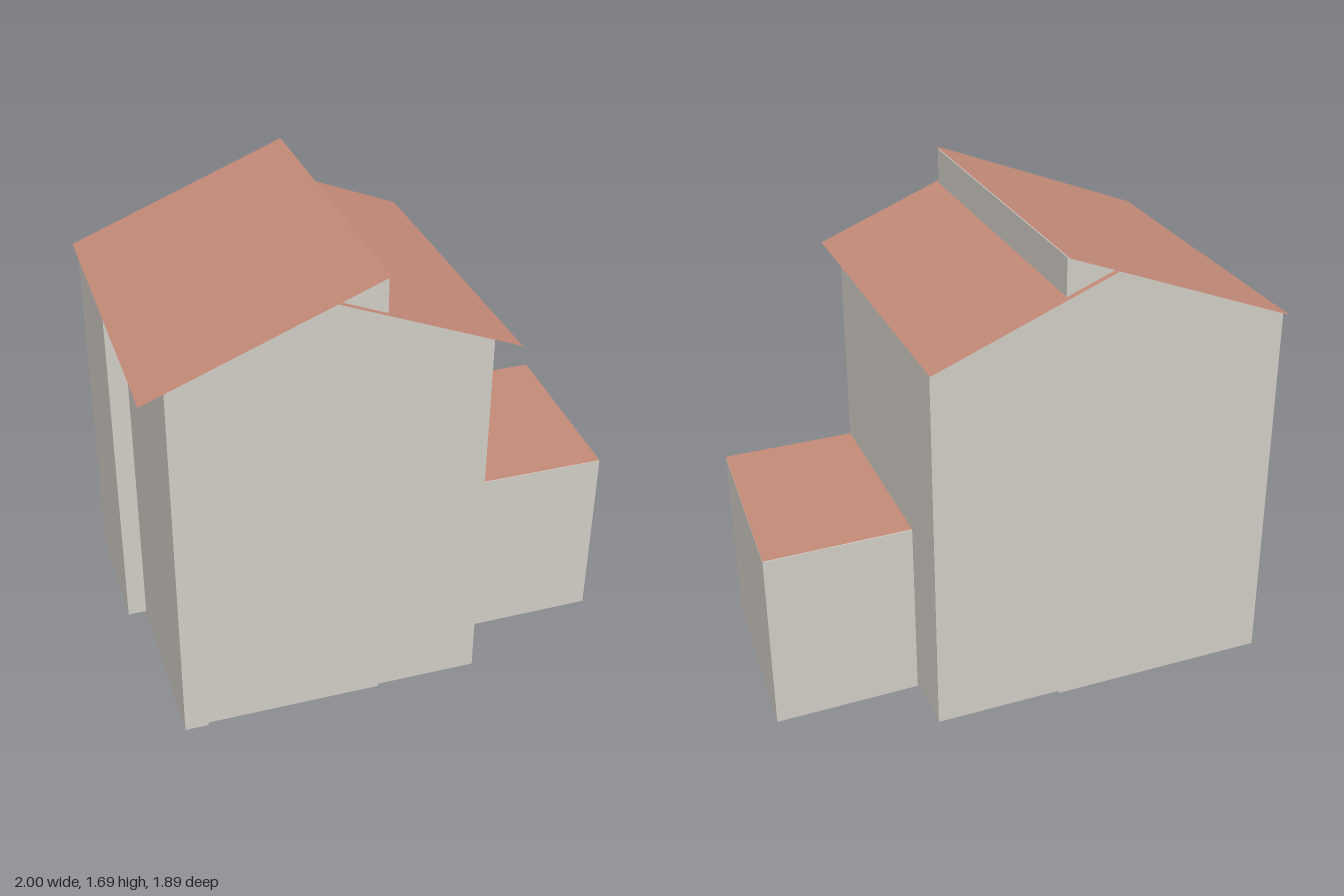
import * as THREE from 'three';

export function createModel() {
  const wallMat = new THREE.MeshStandardMaterial({ color: 0xd0ccc4 });
  wallMat.name = 'warm grey wall';
  const roofMat = new THREE.MeshStandardMaterial({ color: 0xc48a78, side: THREE.DoubleSide });
  roofMat.name = 'terracotta roof';

  const model = new THREE.Group();
  model.name = 'house';
  // The house stands at an angle: local x runs across the ridge, local z along it
  const house = new THREE.Group();
  house.name = 'turnedHouse';
  house.rotation.y = 0.666;
  model.add(house);

  const add = (name, geometry, material) => {
    const mesh = new THREE.Mesh(geometry, material);
    mesh.name = name;
    house.add(mesh);
    return mesh;
  };
  const shapeOf = (pts) => new THREE.Shape(pts.map(([x, y]) => new THREE.Vector2(x, y)));

  // Heights of the two roof slopes; the west one ends higher than the east one
  const RIDGE = 0.048;
  const west = (x) => 1.69 + 0.397 * (x - RIDGE);
  const east = (x) => 1.553 - 0.394 * (x - RIDGE);

  // Wall block with a sloping top, extruded along the ridge
  function block(name, x0, x1, z0, z1, slope, base) {
    const gap = 0.004;
    const shape = shapeOf([[x0, base], [x1, base], [x1, slope(x1) - gap], [x0, slope(x0) - gap]]);
    const geometry = new THREE.ExtrudeGeometry(shape, { depth: z1 - z0, bevelEnabled: false });
    add(name, geometry.translate(0, 0, z0), wallMat);
  }
  block('westRearWalls', -0.754, RIDGE, -0.622, -0.109, west, 0);
  block('westFrontWalls', -0.684, RIDGE, -0.109, 0.573, west, 0);
  block('cornerPier', -0.684, -0.599, 0.573, 0.585, west, 0);
  block('eastRearWalls', RIDGE, 0.507, -0.622, 0.354, east, 0.01);
  block('eastFrontWalls', RIDGE, 0.421, 0.354, 0.573, east, 0.01);

  // Roof slope as a thin sheet overhanging the walls
  function roof(name, x0, x1, slope) {
    const dx = x1 - x0, dy = slope(x1) - slope(x0);
    const geometry = new THREE.PlaneGeometry(Math.hypot(dx, dy), 1.238);
    geometry.rotateX(-Math.PI / 2).rotateZ(Math.atan2(dy, dx));
    geometry.translate((x0 + x1) / 2, (slope(x0) + slope(x1)) / 2, -0.024);
    add(name, geometry, roofMat);
  }
  roof('westRoof', -0.768, RIDGE, west);
  roof('eastRoof', -0.122, 0.512, east);

  // Low annex with a flat roof, slightly out of square
  const plan = shapeOf([[0.506, -0.353], [0.992, -0.349], [1.031, 0.398], [0.506, 0.392]]);
  const annex = new THREE.ExtrudeGeometry(plan, { depth: 0.67, bevelEnabled: false });
  add('annexWalls', annex.rotateX(-Math.PI / 2), wallMat);
  const flatRoof = new THREE.ShapeGeometry(plan).rotateX(-Math.PI / 2);
  add('annexRoof', flatRoof.translate(0, 0.673, 0), roofMat);

  return model;
}
